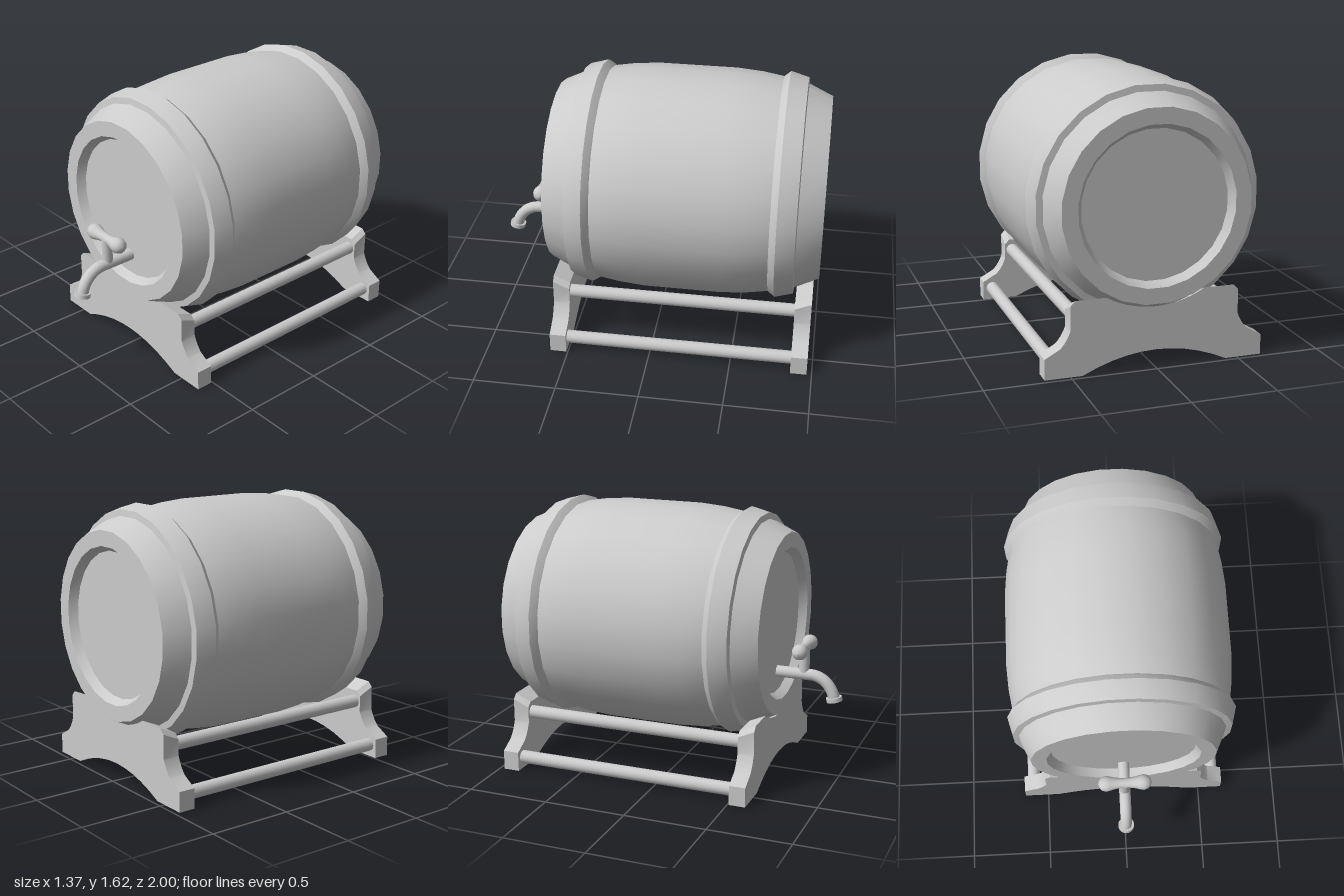
import * as THREE from 'three';
import { toCreasedNormals } from 'three/addons/utils/BufferGeometryUtils.js';

const CENTER_Y = 0.935;
const CENTER_Z = -0.18;
const grey = new THREE.MeshStandardMaterial({ color: 0xcccccc });

function add(parent, name, geometry, x = 0, y = 0, z = 0) {
  const mesh = new THREE.Mesh(geometry, grey);
  mesh.name = name;
  mesh.position.set(x, y, z);
  parent.add(mesh);
  return mesh;
}

// Barrel: one half profile [radius, distance from the middle], mirrored, with hoops and recessed heads
function barrelGeometry() {
  const half = [
    [0.69, 0.235], [0.678, 0.39], [0.657, 0.52], [0.662, 0.525], [0.69, 0.56],
    [0.66, 0.67], [0.622, 0.675], [0.556, 0.82], [0.463, 0.82], [0.432, 0.77], [0, 0.77],
  ];
  const points = [
    ...half.slice().reverse().map(([r, d]) => new THREE.Vector2(r, -d)),
    ...half.map(([r, d]) => new THREE.Vector2(r, d)),
  ];
  const geometry = new THREE.LatheGeometry(points, 24, Math.PI / 24);
  geometry.rotateX(Math.PI / 2);
  return toCreasedNormals(geometry, 0.45);
}

// Cradle board: arched foot, scooped shoulders, hollow top that slopes with the barrel
function cradleGeometry() {
  const s = new THREE.Shape();
  s.moveTo(-0.43, 0);
  s.quadraticCurveTo(0, 0.21, 0.43, 0);
  s.lineTo(0.65, 0);
  s.lineTo(0.65, 0.12);
  s.lineTo(0.56, 0.17);
  s.quadraticCurveTo(0.52, 0.21, 0.5, 0.27);
  s.lineTo(0.5, 0.41);
  s.lineTo(0.47, 0.44);
  s.absarc(0, CENTER_Y, 0.575, -Math.PI / 2 + 0.534, -Math.PI / 2 - 0.534, true);
  s.lineTo(-0.47, 0.44);
  s.lineTo(-0.5, 0.41);
  s.lineTo(-0.5, 0.27);
  s.quadraticCurveTo(-0.52, 0.21, -0.56, 0.17);
  s.lineTo(-0.65, 0.12);
  s.lineTo(-0.65, 0);
  s.closePath();
  const geometry = new THREE.ExtrudeGeometry(s, { depth: 0.1, bevelEnabled: false, curveSegments: 10 });
  const p = geometry.attributes.position;
  for (let i = 0; i < p.count; i++) {
    if (p.getZ(i) < 0.05 && p.getY(i) > 0.3) p.setY(i, p.getY(i) - 0.045);
  }
  return toCreasedNormals(geometry, 0.45);
}

function buildStand() {
  const stand = new THREE.Group();
  stand.name = 'stand';
  const board = cradleGeometry();
  add(stand, 'frontCradle', board, 0, 0, 0.51);
  add(stand, 'backCradle', board, 0, 0, -0.87).rotation.y = Math.PI;
  const rod = new THREE.CylinderGeometry(0.04, 0.04, 1.42, 16).rotateX(Math.PI / 2);
  for (const [side, label] of [[1, 'left'], [-1, 'right']]) {
    add(stand, label + 'UpperRod', rod, side * 0.45, 0.325, CENTER_Z);
    add(stand, label + 'LowerRod', rod, side * 0.59, 0.075, CENTER_Z);
  }
  return stand;
}

function buildTap() {
  const tap = new THREE.Group();
  tap.name = 'tap';

  // Spout: straight pipe, then a downward bend
  const end = new THREE.Vector3(0, 0.5, 0.95);
  const down = new THREE.Vector3(0, -0.98, 0.22).normalize();
  const path = new THREE.CurvePath();
  const bend = new THREE.Vector3(0, 0.63, 0.8);
  path.add(new THREE.LineCurve3(new THREE.Vector3(0, 0.63, 0.57), bend));
  path.add(new THREE.CubicBezierCurve3(
    bend, new THREE.Vector3(0, 0.63, 0.88),
    end.clone().addScaledVector(down, -0.07), end));
  add(tap, 'spout', new THREE.TubeGeometry(path, 32, 0.035, 16));

  // Nozzle lip
  const lip = add(tap, 'nozzle', new THREE.CylinderGeometry(0.049, 0.049, 0.026, 20), 0, 0.493, 0.952);
  lip.quaternion.setFromUnitVectors(new THREE.Vector3(0, -1, 0), down);

  // Valve stem and crossbar handle with rounded ends
  add(tap, 'valveStem', new THREE.CylinderGeometry(0.032, 0.032, 0.18, 16), 0, 0.71, 0.76);
  const knob = [[0, 0.162], [0.022, 0.157], [0.04, 0.141], [0.048, 0.115], [0.044, 0.092], [0.035, 0.06], [0.03, 0.025]];
  const profile = [
    ...knob.map(([r, d]) => new THREE.Vector2(r, -d)),
    ...knob.slice().reverse().map(([r, d]) => new THREE.Vector2(r, d)),
  ];
  add(tap, 'handle', new THREE.LatheGeometry(profile, 20).rotateZ(Math.PI / 2), 0, 0.8, 0.76);
  return tap;
}

export function createModel() {
  const model = new THREE.Group();
  model.name = 'barrelOnStand';
  add(model, 'barrel', barrelGeometry(), 0, CENTER_Y, CENTER_Z);
  model.add(buildStand(), buildTap());
  return model;
}
